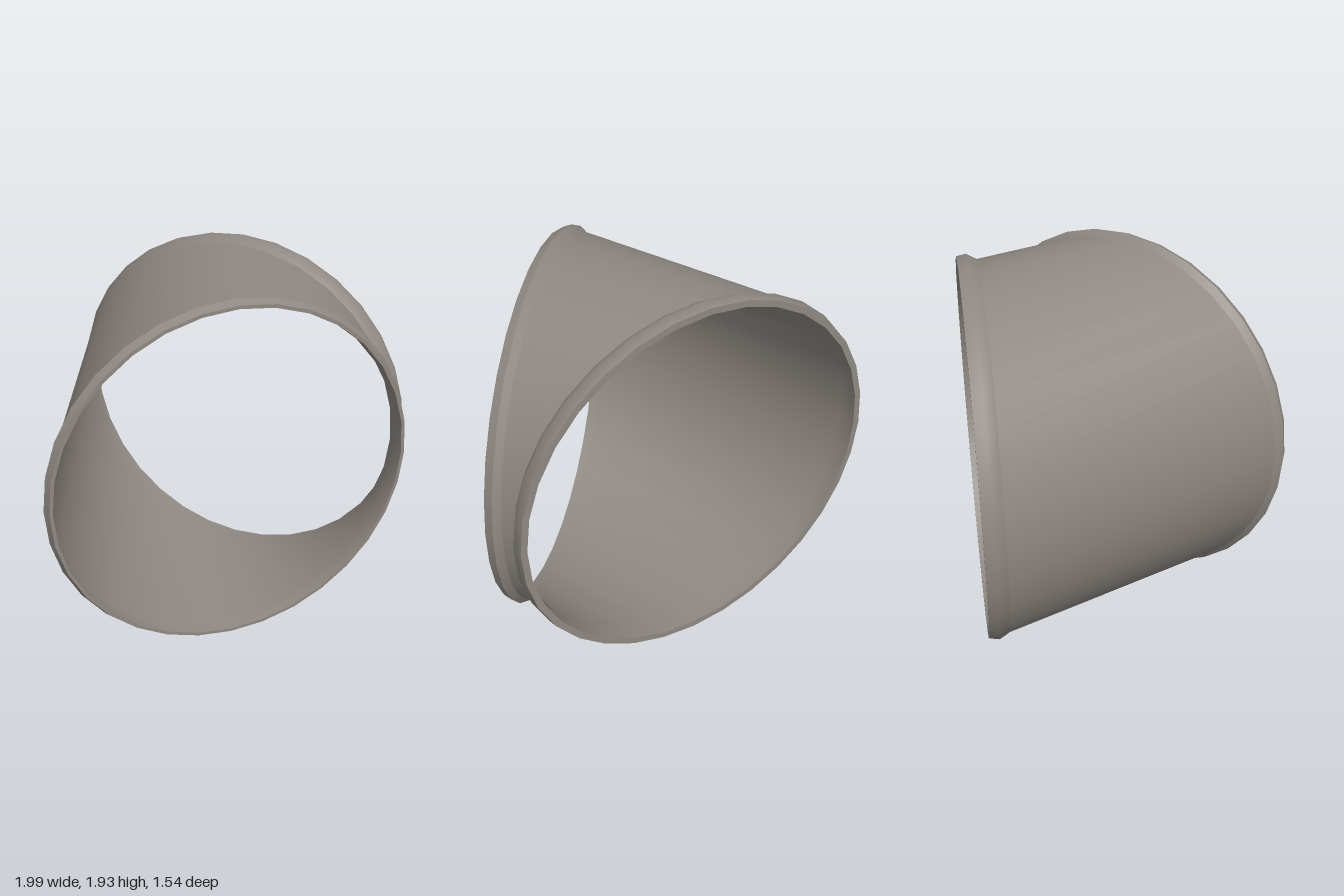
import * as THREE from 'three';
import { toCreasedNormals } from 'three/addons/utils/BufferGeometryUtils.js';

const SEGMENTS = 32;
const CENTRE_Y = 0.97;
const D = Math.SQRT1_2;

// The two open ends: centre, in-plane axis and outward normal (in x and z)
const BACK = { x: -0.037, z: -0.77, ux: 1, uz: 0, nx: 0, nz: -1 };
const FRONT = { x: 0.322, z: 0.098, ux: D, uz: -D, nx: D, nz: D };

// Circle of radius r, set back from an open end by depth
function ring(end, r, depth) {
  const points = [];
  for (let i = 0; i < SEGMENTS; i++) {
    const a = (i / SEGMENTS) * Math.PI * 2;
    const c = Math.cos(a) * r;
    points.push([
      end.x - end.nx * depth + end.ux * c,
      CENTRE_Y + Math.sin(a) * r,
      end.z - end.nz * depth + end.uz * c,
    ]);
  }
  return points;
}

// Skin through successive rings
function loft(rings) {
  const index = [];
  for (let k = 0; k < rings.length - 1; k++) {
    for (let i = 0; i < SEGMENTS; i++) {
      const j = (i + 1) % SEGMENTS;
      const a = k * SEGMENTS + i, b = k * SEGMENTS + j;
      const c = a + SEGMENTS, d = b + SEGMENTS;
      index.push(a, b, c, b, d, c);
    }
  }
  const geometry = new THREE.BufferGeometry();
  geometry.setAttribute('position', new THREE.Float32BufferAttribute(rings.flat(2), 3));
  geometry.setIndex(index);
  return toCreasedNormals(geometry, 0.9);
}

export function createModel() {
  const group = new THREE.Group();
  group.name = 'pipeElbow';
  const metal = new THREE.MeshStandardMaterial({ color: 0x8f8882 });
  metal.name = 'warmGreyMetal';

  const add = (name, rings) => {
    const mesh = new THREE.Mesh(loft(rings), metal);
    mesh.name = name;
    group.add(mesh);
  };

  // Wedge-shaped outer wall between the two rims
  add('outerWall', [ring(BACK, 0.934, 0.1), ring(FRONT, 0.934, 0.075)]);

  // Flared rims with a narrow flat end face
  add('backRim', [
    ring(BACK, 0.92, 0), ring(BACK, 0.953, 0),
    ring(BACK, 0.963, 0.05), ring(BACK, 0.934, 0.1),
  ]);
  add('frontRim', [
    ring(FRONT, 0.934, 0.075), ring(FRONT, 0.962, 0.042),
    ring(FRONT, 0.944, 0), ring(FRONT, 0.926, 0),
  ]);

  // Inner wall, facing the bore
  add('innerWall', [
    ring(FRONT, 0.926, 0), ring(FRONT, 0.92, 0.075),
    ring(BACK, 0.92, 0.1), ring(BACK, 0.92, 0),
  ]);

  return group;
}
